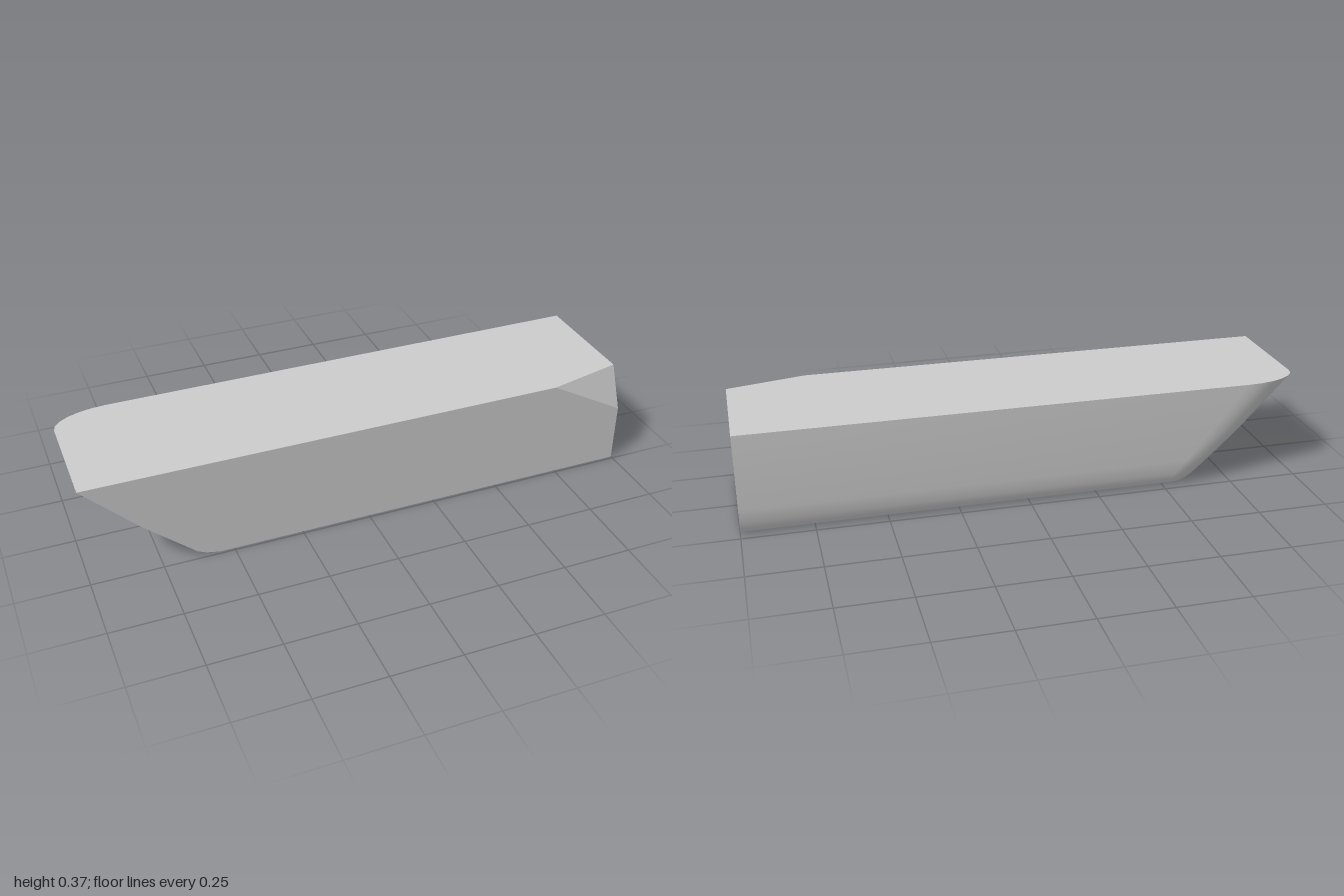
import * as THREE from 'three';
import { ConvexGeometry } from 'three/addons/geometries/ConvexGeometry.js';
import { toCreasedNormals } from 'three/addons/utils/BufferGeometryUtils.js';

// Horizontal outlines: height, raked end x, back z, corner length along x and z
const levels = [
  [0.37, -1.0, -0.24, 0.2, 0.1],
  [0.18, -0.81, -0.24, 0.16, 0.09],
  [0.1, -0.717, -0.24, 0.14, 0.08],
  [0.05, -0.659, -0.235, 0.12, 0.07],
  [0.024, -0.63, -0.226, 0.1, 0.06],
  [0.01, -0.6, -0.219, 0.07, 0.045],
  [0, -0.55, -0.18, 0.02, 0.015],
];

export function createModel() {
  const group = new THREE.Group();
  const points = [];
  const add = (x, y, z) => points.push(new THREE.Vector3(x, y, z));

  for (const [y, left, back, dx, dz] of levels) {
    // front edge and square end; the top front corner is cut away
    add(left, y, 0.24);
    add(1, y, back);
    if (y < 0.2) add(1, y, 0.24);
    // rounded corner between the raked end and the back
    for (let i = 0; i <= 6; i++) {
      const a = (i / 6) * Math.PI / 2;
      add(left + dx * (1 - Math.cos(a)), y, back + dz * (1 - Math.sin(a)));
    }
  }

  // triangular chamfer on the top front corner
  add(0.72, 0.37, 0.24);
  add(1, 0.37, 0.175);
  add(1, 0.218, 0.24);

  const geometry = toCreasedNormals(new ConvexGeometry(points), 0.3);
  const block = new THREE.Mesh(geometry, new THREE.MeshStandardMaterial({ color: 0xcccccc }));
  block.name = 'chamferedBlock';
  group.add(block);
  return group;
}
